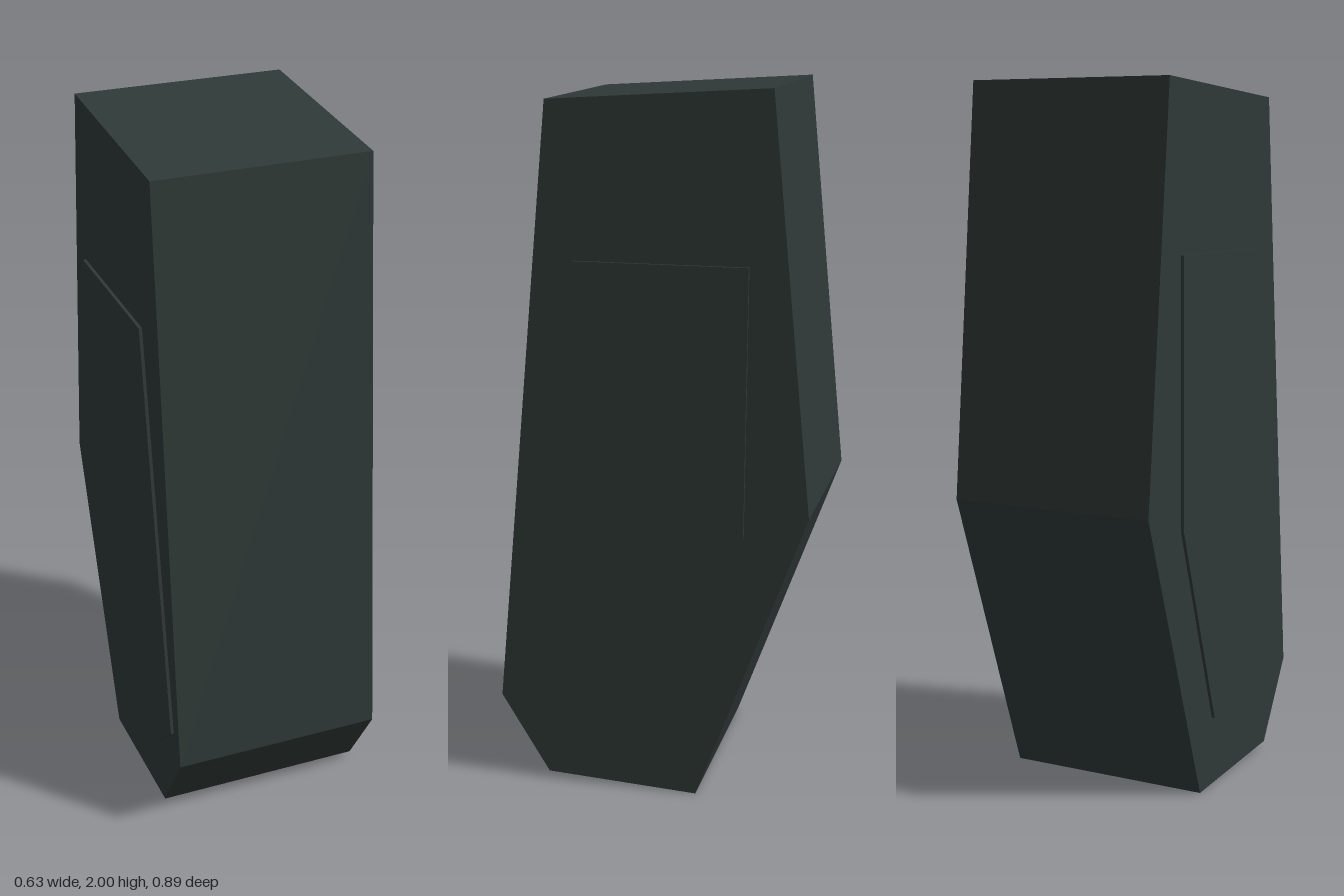
import * as THREE from 'three';

// Side outlines as [z, y] points
const BODY = [[0.285, 1.963], [-0.334, 2], [-0.446, 0.85], [-0.132, 0], [0.306, 0.022], [0.446, 0.25]];
const PANEL = [[0.212, 1.535], [-0.275, 1.535], [-0.267, 0.785], [-0.068, 0.205], [0.263, 0.205], [0.408, 0.345]];

// Extrudes a side outline across x, centred on the given x position
function slab(name, outline, width, x, material) {
  const shape = new THREE.Shape(outline.map(([z, y]) => new THREE.Vector2(z, y)));
  const geometry = new THREE.ExtrudeGeometry(shape, { depth: width, bevelEnabled: false });
  geometry.translate(0, 0, -width / 2).rotateY(-Math.PI / 2).translate(x, 0, 0);
  const mesh = new THREE.Mesh(geometry, material);
  mesh.name = name;
  return mesh;
}

export function createModel() {
  const model = new THREE.Group();
  model.name = 'angularCasing';
  const casing = new THREE.MeshStandardMaterial({ color: 0x2f3937 });
  casing.name = 'dark grey green';

  // Faceted main body
  model.add(slab('body', BODY, 0.607, 0, casing));

  // Thin panels standing just off each side
  for (const [name, side] of [['leftPanel', 1], ['rightPanel', -1]]) {
    model.add(slab(name, PANEL, 0.009, side * 0.3125, casing));
  }
  return model;
}
